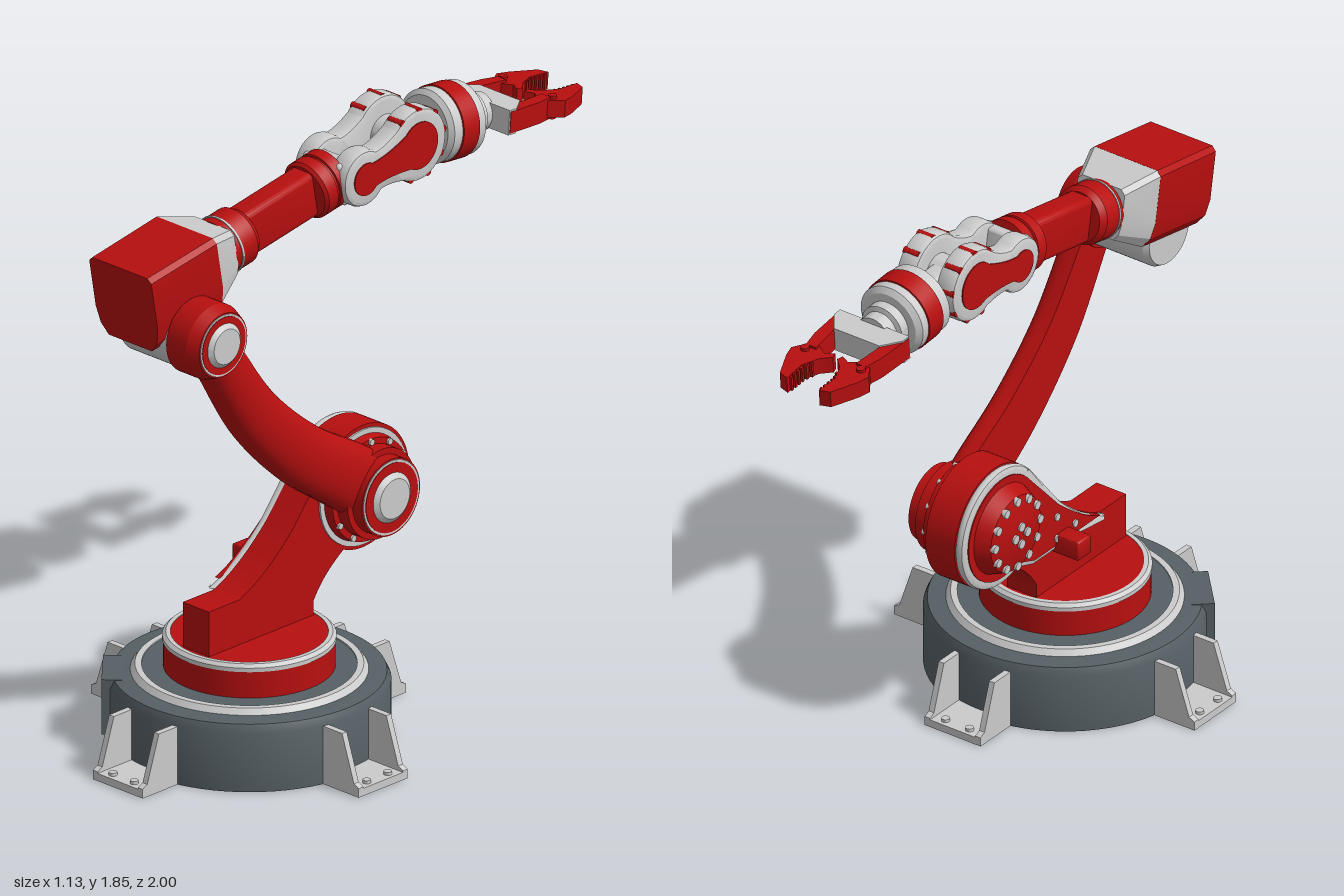
import * as THREE from 'three';
import { toCreasedNormals } from 'three/addons/utils/BufferGeometryUtils.js';
import { RoundedBoxGeometry } from 'three/addons/geometries/RoundedBoxGeometry.js';

const mat = (color) => new THREE.MeshStandardMaterial({ color });
const red = mat(0xb80f0f), grey = mat(0xcccccc), dark = mat(0x566065);

function add(parent, name, geo, material, crease = 0.6) {
  const m = new THREE.Mesh(toCreasedNormals(geo, crease), material);
  m.name = name;
  parent.add(m);
  return m;
}
const group = (parent, name, x, y, z) => {
  const g = new THREE.Group();
  g.name = name;
  g.position.set(x, y, z);
  parent.add(g);
  return g;
};
const box = (p, name, material, w, h, d, x, y, z, r = 0) =>
  add(p, name, (r ? new RoundedBoxGeometry(w, h, d, 3, r) : new THREE.BoxGeometry(w, h, d)).translate(x, y, z), material);
// Cylinder along x, r0 at x0 and r1 at x1
const cylX = (p, name, material, r0, r1, x0, x1, y, z, n = 48) =>
  add(p, name, new THREE.CylinderGeometry(r1, r0, x1 - x0, n).rotateZ(-Math.PI / 2).translate((x0 + x1) / 2, y, z), material);
// Solid of revolution about the forward (-z) axis from [radius, distance] points
const spinZ = (p, name, material, pts) =>
  add(p, name, new THREE.LatheGeometry(pts.map((q) => new THREE.Vector2(...q)), 48).rotateX(-Math.PI / 2), material);
const spinY = (p, name, material, pts) =>
  add(p, name, new THREE.LatheGeometry(pts.map((q) => new THREE.Vector2(...q)), 72), material);
const poly = (pts) => new THREE.Shape(pts.map((q) => new THREE.Vector2(...q)));
// Side profile in (z, y), extruded from x0 to x1
function slab(p, name, material, shape, x0, x1, bevel = 0) {
  const geo = new THREE.ExtrudeGeometry(shape, {
    depth: x1 - x0 - 2 * bevel, curveSegments: 24, bevelEnabled: bevel > 0,
    bevelSize: bevel, bevelThickness: bevel, bevelOffset: -bevel, bevelSegments: 2,
  });
  return add(p, name, geo.rotateY(-Math.PI / 2).translate(x1 - bevel, 0, 0), material);
}
// Plan profile in (x, forward), extruded in y about 0
const plan = (p, name, material, shape, h) =>
  add(p, name, new THREE.ExtrudeGeometry(shape, { depth: h, bevelEnabled: false }).rotateX(-Math.PI / 2).translate(0, -h / 2, 0), material);
// Skin through closed rings, capped at both ends
function loft(rings) {
  const n = rings[0].length, pos = rings.flat().flatMap((v) => v.toArray()), idx = [];
  for (let i = 0; i < rings.length - 1; i++)
    for (let j = 0; j < n; j++) {
      const a = i * n + j, b = i * n + (j + 1) % n;
      idx.push(a, b, b + n, a, b + n, a + n);
    }
  const last = (rings.length - 1) * n;
  for (let j = 1; j < n - 1; j++) idx.push(0, j + 1, j, last, last + j, last + j + 1);
  const g = new THREE.BufferGeometry();
  g.setAttribute('position', new THREE.Float32BufferAttribute(pos, 3));
  g.setIndex(idx);
  return g;
}

function buildBase(root) {
  const base = group(root, 'base', 0, 0, 0.435);
  spinY(base, 'baseDrum', dark, [[0, 0], [0.428, 0], [0.428, 0.19], [0.415, 0.217], [0.36, 0.222], [0, 0.222]]);
  spinY(base, 'baseRing', grey, [[0.365, 0.215], [0.345, 0.24], [0.325, 0.24], [0.325, 0.215]]);
  spinY(base, 'innerDeck', dark, [[0.327, 0.21], [0.327, 0.236], [0, 0.236]]);
  spinY(base, 'turntable', red, [[0.26, 0.23], [0.26, 0.325], [0, 0.325]]);
  spinY(base, 'turntableRim', grey, [[0.263, 0.322], [0.263, 0.335], [0.252, 0.345], [0.238, 0.345], [0.238, 0.32]]);
  spinY(base, 'turntableTop', red, [[0.24, 0.32], [0.24, 0.343], [0, 0.343]]);
  // Cable panel on the front quarter
  const panel = box(base, 'cablePanel', dark, 0.19, 0.18, 0.08, 0, 0, 0);
  panel.position.set(-0.295, 0.13, 0.275);
  panel.rotation.y = Math.atan2(-0.295, 0.275);
  // Four bolted feet
  const gusset = poly([[0.4, 0], [0.565, 0], [0.565, 0.03], [0.545, 0.04], [0.495, 0.19], [0.4, 0.19]]);
  for (let i = 0; i < 4; i++) {
    const foot = group(base, 'foot', 0, 0, 0);
    foot.rotation.y = i * Math.PI / 2;
    box(foot, 'footPlate', grey, 0.21, 0.025, 0.165, 0, 0.0125, 0.4825);
    for (const s of [-1, 1]) {
      slab(foot, 'footGusset', grey, gusset, s * 0.095 - 0.01, s * 0.095 + 0.01);
      add(foot, 'footBolt', new THREE.CylinderGeometry(0.013, 0.013, 0.01, 16).translate(s * 0.045, 0.03, 0.54), grey);
    }
  }
}

function buildShoulder(root) {
  const g = group(root, 'shoulder', 0, 0, 0);
  const bracket = new THREE.Shape();
  bracket.moveTo(0.66, 0.34);
  bracket.lineTo(0.66, 0.49).lineTo(0.53, 0.49);
  bracket.quadraticCurveTo(0.42, 0.53, 0.3, 0.65);
  bracket.lineTo(0.15, 0.832);
  bracket.absarc(0, 0.7, 0.2, 0.72, -1.15 + Math.PI * 2, false);
  bracket.quadraticCurveTo(0.17, 0.46, 0.21, 0.39);
  bracket.lineTo(0.21, 0.34);
  slab(g, 'shoulderBracket', red, bracket, -0.06, 0.05);
  // Side cover with pale bevelled edge and red face
  const cover = (r, k) => {
    const s = new THREE.Shape();
    s.moveTo(0.53 - k * 2, 0.49 + k);
    s.quadraticCurveTo(0.42, 0.53, 0.3 - k, 0.65);
    s.lineTo(r * 0.75, 0.7 + r * 0.66);
    s.absarc(0, 0.7, r, 0.72, Math.PI * 2 - 1.15, false);
    s.lineTo(0.16, 0.49 + k);
    return s;
  };
  slab(g, 'shoulderCover', grey, cover(0.2, 0), -0.088, -0.058, 0.014);
  slab(g, 'shoulderCoverFace', red, cover(0.172, 0.02), -0.092, -0.075);
  for (const [z, y] of [[0.36, 0.545], [0.27, 0.535], [0.27, 0.61]])
    cylX(g, 'coverBolt', grey, 0.012, 0.012, -0.098, -0.09, y, z, 16);
  // Motor hub
  cylX(g, 'hubRim', red, 0.125, 0.15, -0.14, -0.085, 0.7, 0);
  cylX(g, 'hubCone', red, 0.055, 0.125, -0.16, -0.14, 0.7, 0);
  for (let i = 0; i < 12; i++) {
    const a = i * Math.PI / 6;
    cylX(g, 'hubBolt', grey, 0.014, 0.014, -0.152, -0.12, 0.7 + 0.112 * Math.sin(a), 0.112 * Math.cos(a), 16);
    cylX(g, 'bearingBolt', grey, 0.01, 0.01, 0.06, 0.092, 0.7 + 0.156 * Math.sin(a), 0.156 * Math.cos(a), 16);
    if (i % 3 === 0) cylX(g, 'hubCentreBolt', grey, 0.015, 0.015, -0.166, -0.15, 0.7 + 0.03 * Math.sin(a), 0.03 * Math.cos(a), 16);
  }
  box(g, 'motorPlug', red, 0.11, 0.065, 0.065, -0.12, 0.515, 0.3, 0.006);
  // Bearing stack carrying the upper arm
  cylX(g, 'bearingRing', grey, 0.188, 0.188, 0.045, 0.056, 0.7, 0);
  cylX(g, 'bearing', red, 0.172, 0.165, 0.05, 0.085, 0.7, 0);
}

function buildUpperArm(root) {
  const g = group(root, 'upperArm', 0, 0, 0);
  const path = new THREE.CatmullRomCurve3([[0, 0.7], [0.1, 0.775], [0.3, 0.909], [0.5, 1.1], [0.66, 1.337], [0.72, 1.42]]
    .map(([z, y]) => new THREE.Vector3(0, y, z)));
  const X = new THREE.Vector3(1, 0, 0), rings = [];
  for (let i = 0; i <= 28; i++) {
    const t = i / 28, c = path.getPointAt(t), N = path.getTangentAt(t).cross(X), h = 0.112 - 0.042 * t;
    const at = (x, s) => c.clone().addScaledVector(X, x).addScaledVector(N, s);
    const ring = [at(0.055, -h)];
    for (let k = 0; k <= 14; k++) {
      const a = -Math.PI / 2 + k * Math.PI / 14;
      ring.push(at(0.09 + 0.06 * Math.abs(Math.cos(a)) ** 0.8, h * Math.sin(a)));
    }
    ring.push(at(0.055, h));
    rings.push(ring);
  }
  add(g, 'armBeam', loft(rings), red);
  // Joint bosses with pale caps
  for (const [name, y, z, r, cap] of [['shoulder', 0.7, 0, 0.145, 0.085], ['elbow', 1.42, 0.72, 0.12, 0.075]]) {
    cylX(g, name + 'Boss', red, r, r, 0.047, 0.13, y, z);
    cylX(g, name + 'BossFace', red, Math.min(r, 0.125), r * 0.86, 0.13, 0.17, y, z);
    cylX(g, name + 'CapRing', grey, r * 0.84, r * 0.82, 0.165, 0.172, y, z);
    cylX(g, name + 'CapSeat', red, r * 0.77, r * 0.77, 0.165, 0.174, y, z);
    cylX(g, name + 'Cap', grey, cap, cap * 0.75, 0.17, 0.187, y, z);
  }
  cylX(g, 'elbowPin', grey, 0.1, 0.11, -0.178, -0.16, 1.42, 0.72);
  cylX(g, 'elbowDrum', grey, 0.11, 0.11, -0.16, 0.05, 1.42, 0.72);
}

// Two round lobes joined by a waist, in (z, y)
function lobes(big, small, waist) {
  const s = new THREE.Shape(), a = 0.87;
  s.absarc(-0.277, 0, big, a, Math.PI * 2 - a, false);
  s.quadraticCurveTo(-0.14, -waist, -0.045 - small * Math.cos(a), -small * Math.sin(a));
  s.absarc(-0.045, 0, small, Math.PI + a, Math.PI * 3 - a, false);
  s.quadraticCurveTo(-0.14, waist, -0.277 + big * Math.cos(a), big * Math.sin(a));
  return s;
}

function buildForearm(root) {
  const g = group(root, 'forearm', -0.088, 1.677, 0);
  g.rotation.x = 0.175;
  // Elbow housing and pale collar
  const ring = (z, w, h, k = 1) => [[-w + 0.04 * k, -h], [w - 0.04 * k, -h], [w - 0.012 * k, -h + 0.035 * k], [w, -h + 0.09 * k],
    [w, h - 0.015], [w - 0.015, h], [-w + 0.015, h], [-w, h - 0.015], [-w, -h + 0.09 * k], [-w + 0.012 * k, -h + 0.035 * k]]
    .map(([x, y]) => new THREE.Vector3(x, y, z));
  add(g, 'elbowHousing', loft([ring(0.61, 0.133, 0.13), ring(0.893, 0.131, 0.132)]), red, 0.3);
  add(g, 'housingCollar', loft([ring(0.495, 0.088, 0.085, 0.6), ring(0.611, 0.133, 0.13)]), grey, 0.3);
  // Flanges and beam
  spinZ(g, 'rearFlange', red, [[0, -0.5], [0.09, -0.5], [0.094, -0.47], [0.094, -0.41], [0.08, -0.39], [0, -0.39]]);
  spinZ(g, 'rearFlangeSeam', grey, [[0.09, -0.478], [0.0965, -0.478], [0.0965, -0.471], [0.09, -0.471]]);
  box(g, 'forearmBeam', red, 0.088, 0.15, 0.34, 0, 0, 0.24, 0.018);
  spinZ(g, 'frontFlange', red, [[0, -0.11], [0.085, -0.11], [0.094, -0.1], [0.094, -0.06], [0.088, -0.058], [0.088, -0.05], [0.094, -0.048], [0.094, -0.01], [0, 0.0]]);
  // Wrist fork
  box(g, 'forkBridge', grey, 0.16, 0.14, 0.06, 0, 0, 0, 0.01);
  for (const s of [-1, 1]) {
    const span = (a, b) => (s > 0 ? [a, b] : [-b, -a]);
    slab(g, 'forkPlate', grey, lobes(0.118, 0.09, 0.066), ...span(0.038, 0.11), 0.014);
    slab(g, 'forkInlay', red, lobes(0.076, 0.052, 0.035), ...span(0.1, 0.114));
    for (let i = 0; i < 7; i++) {
      const a = 1.1 + i * 0.68;
      cylX(g, 'forkBolt', red, 0.012, 0.012, ...span(0.05, 0.107), 0.109 * Math.sin(a), -0.277 + 0.109 * Math.cos(a), 16);
    }
  }
}

function buildWrist(root) {
  const g = group(root, 'wrist', -0.088, 1.722, -0.273);
  g.rotation.x = -0.08;
  cylX(g, 'wristPivot', grey, 0.06, 0.06, -0.04, 0.04, 0, 0);
  box(g, 'wristLink', grey, 0.066, 0.1, 0.18, 0, 0, -0.06, 0.012);
  box(g, 'wristBlock', red, 0.06, 0.11, 0.04, 0, 0, -0.12, 0.006);
  // Rotating head, pale with a red band
  spinZ(g, 'headRear', grey, [[0, 0.133], [0.1, 0.133], [0.117, 0.145], [0.117, 0.18], [0.1, 0.18]]);
  spinZ(g, 'headBand', red, [[0.1, 0.178], [0.121, 0.182], [0.121, 0.25], [0.1, 0.254]]);
  spinZ(g, 'headFront', grey, [[0.1, 0.252], [0.117, 0.252], [0.117, 0.28], [0.1, 0.295], [0.075, 0.298], [0.075, 0.33], [0.06, 0.335], [0.06, 0.375], [0, 0.375]]);
  plan(g, 'palm', grey, poly([[-0.13, 0.365], [0.13, 0.365], [0.13, 0.395], [0.085, 0.455], [-0.085, 0.455], [-0.13, 0.395]]), 0.08);
  // Mirrored toothed fingers
  const link = [[0.132, 0.37], [0.125, 0.5], [0.112, 0.56], [0.075, 0.56], [0.085, 0.455], [0.095, 0.37]];
  const jaw = [[0.112, 0.54], [0.146, 0.59], [0.135, 0.63], [0.095, 0.716], [0.06, 0.727], [0.064, 0.65],
    [0.04, 0.595], [0.008, 0.565], [0.014, 0.545], [0.045, 0.56], [0.075, 0.54]];
  for (const s of [-1, 1]) {
    const f = group(g, 'finger', 0, 0, 0);
    const flip = (pts) => poly(pts.map(([x, w]) => [s * x, w]));
    plan(f, 'fingerLink', red, flip(link), 0.07);
    plan(f, 'fingerJaw', red, flip(jaw), 0.055);
    for (let i = 0; i < 6; i++) {
      const w = 0.62 + i * 0.018, x = i < 2 ? 0.05 + i * 0.007 : 0.06;
      box(f, 'fingerTooth', red, 0.014, 0.05, 0.009, s * x, 0, -w);
    }
    add(f, 'knucklePin', new THREE.CylinderGeometry(0.014, 0.014, 0.074, 20).translate(s * 0.105, 0, -0.575), red);
  }
}

export function createModel() {
  const root = new THREE.Group();
  root.name = 'robotArm';
  [buildBase, buildShoulder, buildUpperArm, buildForearm, buildWrist].forEach((build) => build(root));
  return root;
}
